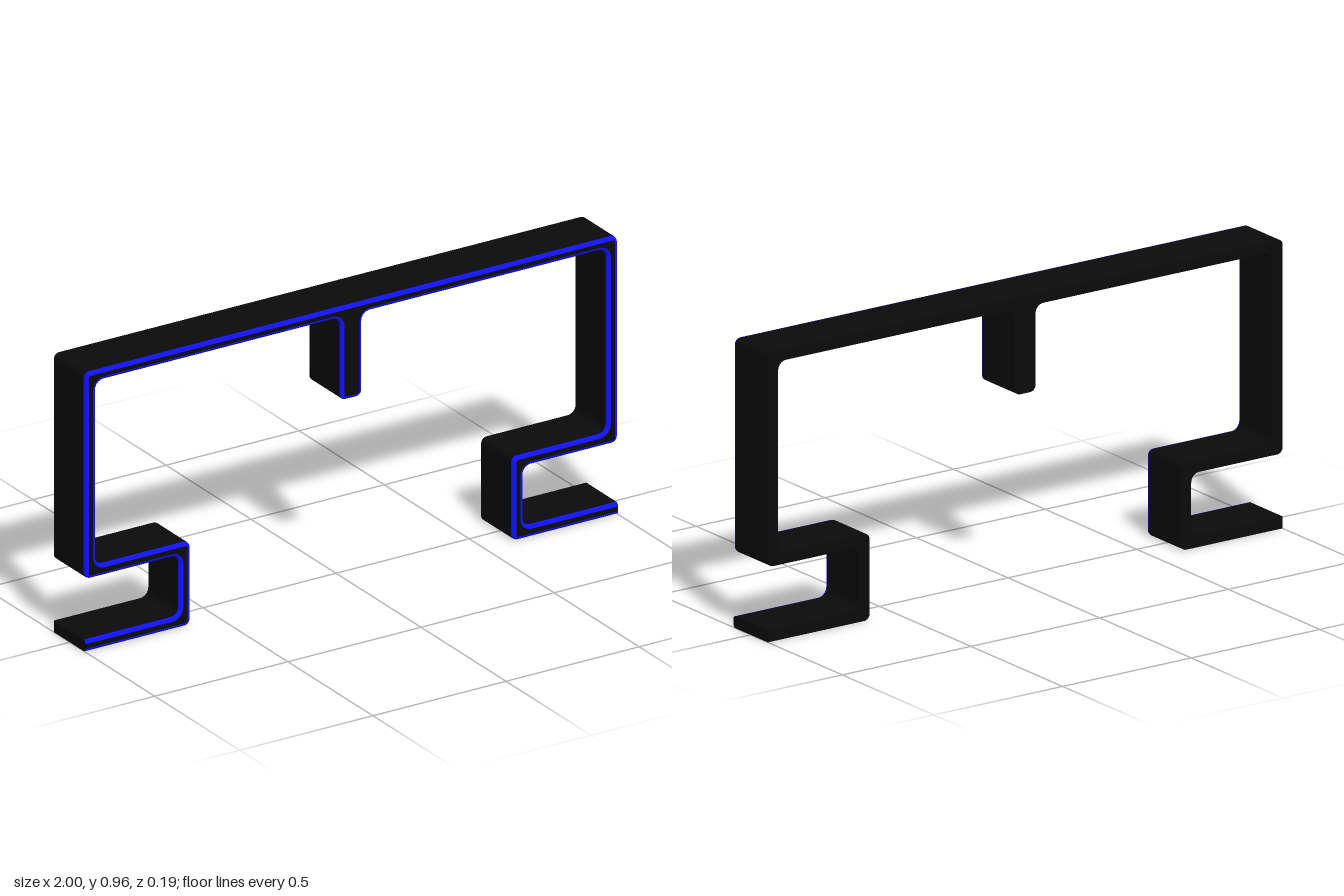
import * as THREE from 'three';

const BACK = -0.094, FRONT = 0.094, EDGE = 0.012;

// Right half of the bracket profile, counter-clockwise: [x, y, corner radius]
const HALF = [
  [1, 0, 0], [1, 0.04, 0], [0.645, 0.04, 0.03], [0.645, 0.25, 0.03],
  [1, 0.25, 0.02], [1, 0.965, 0.02],
];
const INNER = [
  [0.04, 0.64, 0.02], [0.04, 0.928, 0.03], [0.96, 0.928, 0.03],
  [0.96, 0.29, 0.03], [0.605, 0.29, 0.02], [0.605, 0, 0.02],
];
const mirror = (pts) => pts.map(([x, y, r]) => [-x, y, r]).reverse();

// Replace each corner by a short arc
function roundCorners(corners, steps = 5) {
  const out = [];
  corners.forEach(([x, y, r], i) => {
    const n = corners.length;
    const p = new THREE.Vector2(x, y);
    if (!r) return out.push(p);
    const a = new THREE.Vector2(...corners[(i + n - 1) % n].slice(0, 2)).sub(p).normalize();
    const b = new THREE.Vector2(...corners[(i + 1) % n].slice(0, 2)).sub(p).normalize();
    const centre = p.clone().addScaledVector(a, r).addScaledVector(b, r);
    for (let k = 0; k <= steps; k++) {
      const t = (k / steps) * Math.PI / 2;
      out.push(centre.clone()
        .addScaledVector(b, -r * Math.cos(t))
        .addScaledVector(a, -r * Math.sin(t)));
    }
  });
  return out;
}

// The cut ends of the feet stay square
const isCutEnd = (a, b) => Math.abs(a.x) === 1 && a.x === b.x && a.y < 0.05 && b.y < 0.05;

// Move every edge inwards by d, except the cut ends
function inset(points, d) {
  const n = points.length;
  const edge = (i) => {
    const a = points[i % n], b = points[(i + 1) % n];
    const t = b.clone().sub(a).normalize();
    return { nx: -t.y, ny: t.x, d: isCutEnd(a, b) ? 0 : d };
  };
  return points.map((p, i) => {
    const e = edge(i + n - 1), f = edge(i);
    const det = e.nx * f.ny - e.ny * f.nx;
    if (Math.abs(det) < 1e-6) return new THREE.Vector2(p.x + e.nx * e.d, p.y + e.ny * e.d);
    return new THREE.Vector2(
      p.x + (e.d * f.ny - f.d * e.ny) / det,
      p.y + (e.nx * f.d - f.nx * e.d) / det);
  });
}

// Strip of faces joining successive outlines, limited to edges that pass the test
function band(rings, test) {
  const pos = [];
  for (let k = 0; k < rings.length - 1; k++) {
    const lo = rings[k], hi = rings[k + 1], n = lo.pts.length;
    for (let i = 0; i < n; i++) {
      if (!test(i)) continue;
      const j = (i + 1) % n;
      const quad = [[lo, i], [lo, j], [hi, j], [lo, i], [hi, j], [hi, i]];
      for (const [ring, v] of quad) pos.push(ring.pts[v].x, ring.pts[v].y, ring.z);
    }
  }
  const g = new THREE.BufferGeometry();
  g.setAttribute('position', new THREE.Float32BufferAttribute(pos, 3));
  g.computeVertexNormals();
  return g;
}

export function createModel() {
  const group = new THREE.Group();
  const black = new THREE.MeshStandardMaterial({ color: 0x0a0a0a });
  const blue = new THREE.MeshStandardMaterial({ color: 0x1010ff });
  const add = (name, geometry, material) => {
    const mesh = new THREE.Mesh(geometry, material);
    mesh.name = name;
    group.add(mesh);
    return mesh;
  };

  const outline = roundCorners([...HALF, ...mirror(HALF), ...mirror(INNER), ...INNER]);

  // Bent bracket with its centre stem
  const body = new THREE.ExtrudeGeometry(new THREE.Shape(outline),
    { depth: FRONT - EDGE - BACK, bevelEnabled: false });
  add('bracketBody', body, black).position.z = BACK;

  // Rounded front edge, blue except at the cut ends of the feet
  const rings = [0, 1, 2, 3].map((k) => {
    const t = (k / 3) * Math.PI / 2;
    return { pts: inset(outline, EDGE * (1 - Math.cos(t))), z: FRONT - EDGE + EDGE * Math.sin(t) };
  });
  const cut = (i) => isCutEnd(outline[i], outline[(i + 1) % outline.length]);
  add('frontEdgeTrim', band(rings, (i) => !cut(i)), blue);
  add('footEnds', band(rings, cut), black);

  // Flat front face
  const face = new THREE.ShapeGeometry(new THREE.Shape(rings[3].pts));
  add('frontFace', face, black).position.z = FRONT;

  return group;
}
